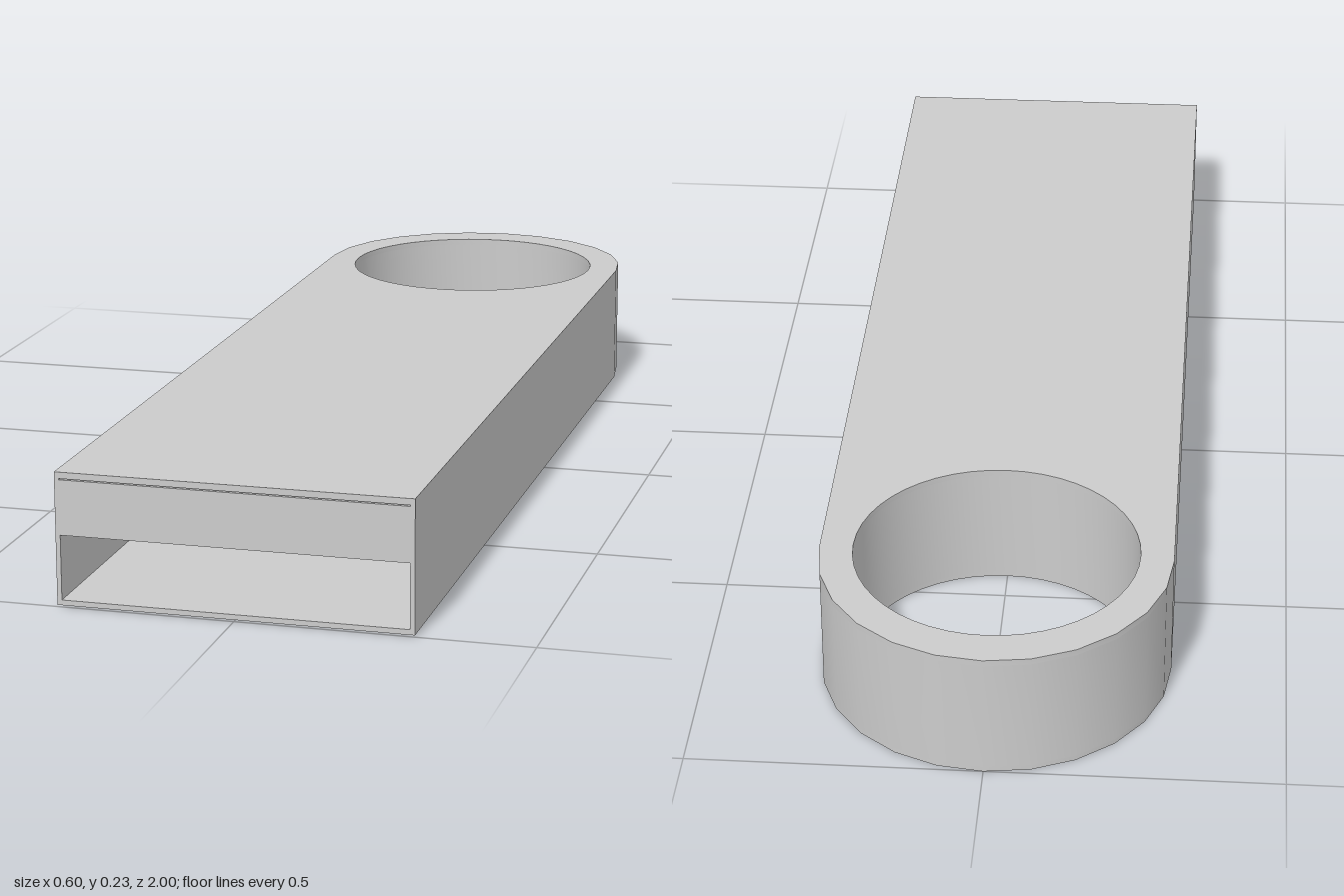
import * as THREE from 'three';
import { toCreasedNormals } from 'three/addons/utils/BufferGeometryUtils.js';

const HALF = 0.302, INNER = 0.294, HEIGHT = 0.227, WALL = 0.009;
const CAVITY_END = -0.38; // z of the closed end of the pocket
const material = new THREE.MeshStandardMaterial({ color: 0xcccccc });

// The whole body leans very slightly up towards the front
function lean(geometry) {
  const p = geometry.attributes.position;
  for (let i = 0; i < p.count; i++) p.setY(i, p.getY(i) + 0.0015 * (p.getZ(i) + 1));
  return toCreasedNormals(geometry, 0.5);
}

// Plan outline with a round end and a ring hole; shape y is -z
function plan(notched) {
  const s = new THREE.Shape();
  s.moveTo(HALF, -1);
  for (let i = 0; i <= 12; i++) {
    const a = (i / 12) * Math.PI;
    s.lineTo(HALF * Math.cos(a), 1 - HALF + HALF * Math.sin(a));
  }
  s.lineTo(-HALF, -1);
  if (notched) {
    s.lineTo(-INNER, -1);
    s.lineTo(-INNER, -CAVITY_END);
    s.lineTo(INNER, -CAVITY_END);
    s.lineTo(INNER, -1);
  }
  s.closePath();
  s.holes.push(new THREE.Path().absarc(0, 0.685, 0.245, 0, Math.PI * 2, true));
  return s;
}

function layer(name, y0, y1, notched) {
  const g = new THREE.ExtrudeGeometry(plan(notched), {
    depth: y1 - y0, bevelEnabled: false, curveSegments: 24,
  });
  g.rotateX(-Math.PI / 2).translate(0, y0, 0);
  const mesh = new THREE.Mesh(lean(g), material);
  mesh.name = name;
  return mesh;
}

export function createModel() {
  const model = new THREE.Group();
  model.name = 'ringEndedCasing';

  // Floor, walls and lid enclose a pocket open at the front
  model.add(layer('floor', 0, WALL, false));
  model.add(layer('walls', WALL, HEIGHT - WALL - 0.002, true));
  model.add(layer('lid', HEIGHT - WALL - 0.002, HEIGHT, false));

  // Block filling the upper half of the pocket, with a hairline gap below the lid
  const length = 1 - CAVITY_END, y0 = 0.12, y1 = 0.214;
  const g = new THREE.BoxGeometry(INNER * 2, y1 - y0, length);
  g.translate(0, (y0 + y1) / 2, 1 - length / 2);
  const block = new THREE.Mesh(lean(g), material);
  block.name = 'upperBlock';
  model.add(block);

  return model;
}
